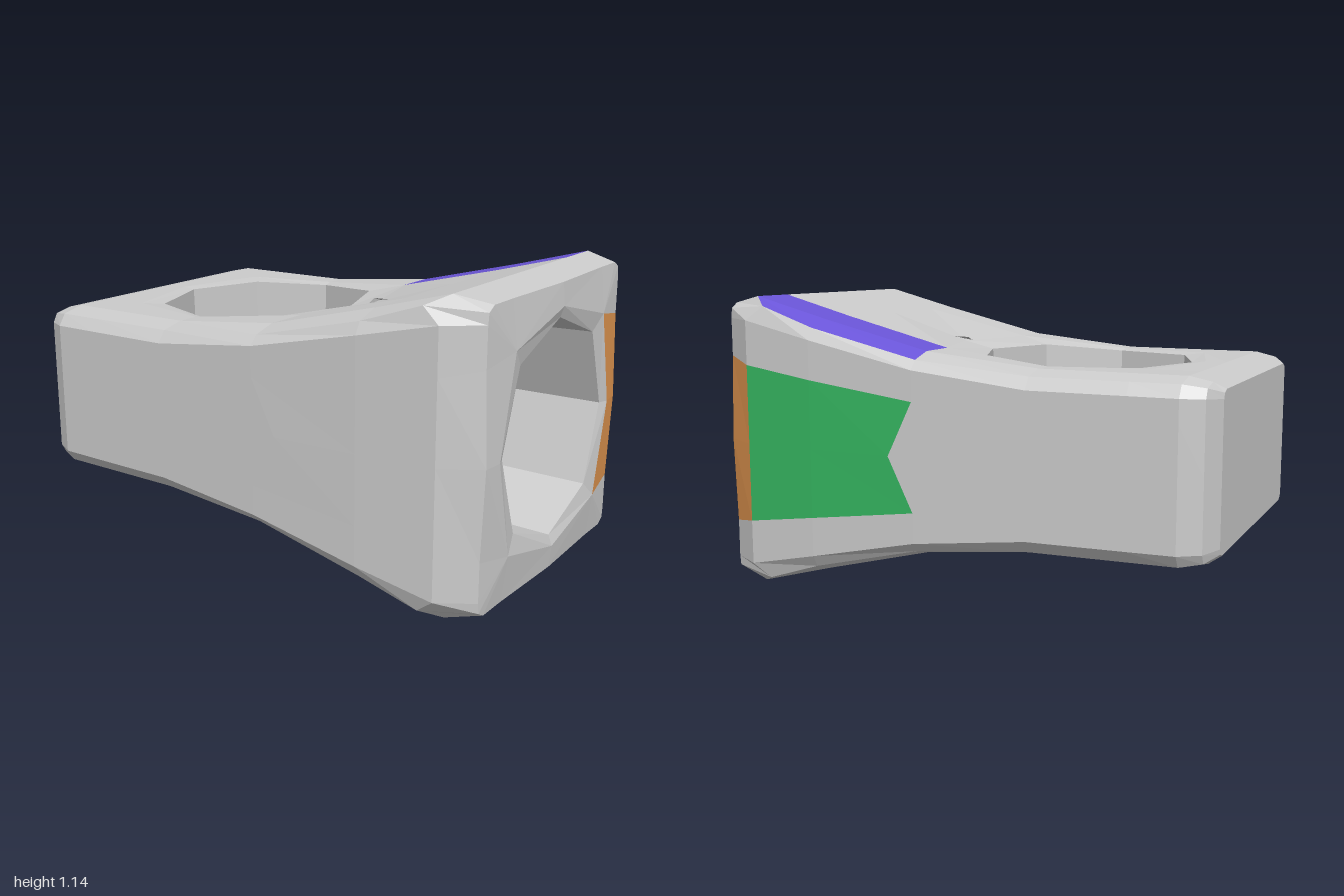
import * as THREE from 'three';

const CY = 0.576; // height of the centre line

// Sections along x: x, half height, flat half width, chamfer z, chamfer drop,
// side half width, side drop, inner column z, side row as a share of half height
const SECTIONS = [
  [-1.0, 0.287, 0.5, 0.525, 0.01, 0.535, 0.03, 0.36, 0.54],
  [-0.96, 0.312, 0.53, 0.6, 0.015, 0.62, 0.05, 0.37, 0.54],
  [-0.88, 0.33, 0.54, 0.63, 0.02, 0.66, 0.065, 0.37, 0.54],
  [-0.7, 0.331, 0.54, 0.63, 0.02, 0.662, 0.065, 0.37, 0.54],
  [-0.335, 0.333, 0.54, 0.63, 0.02, 0.664, 0.065, 0.455, 0.54],
  [0.11, 0.38, 0.54, 0.63, 0.025, 0.665, 0.06, 0.37, 0.54],
  [0.55, 0.49, 0.54, 0.628, 0.03, 0.655, 0.075, 0.35, 0.54],
  [0.85, 0.571, 0.54, 0.61, 0.035, 0.628, 0.09, 0.34, 0.54],
  [0.98, 0.543, 0.5, 0.535, 0.02, 0.54, 0.06, 0.37, 0.617],
];

// 24 points around a section, from the top over +z to the bottom and back over -z
function sectionRing([x, h, t, m, md, w, sd, a, row], s) {
  const r = h * row;
  const half = [[-a, h], [0, h], [a, h], [t, h], [m, h - md], [w, h - sd],
    [w, r], [w, 0], [w, -r], [w, sd - h], [m, md - h], [t, -h]];
  return [...half, ...half.map(([z, y]) => [-z, -y])].map(([z, y], j) => {
    let px = x;
    const middle = j % 6 === 1;
    if (middle && s === 5) px += 0.1;
    if (middle && s === 3 && j % 12 === 1) px -= 0.1;
    if (middle && s === 8) px += 0.012;
    if (j % 6 === 4 && s === 7) px -= 0.07; // clipped corner
    return [px, CY + y, z];
  });
}

// Eight directions of a squarish octagon, starting at a corner
const DIRS = [[-1, -1], [0, -1], [1, -1], [1, 0], [1, 1], [0, 1], [-1, 1], [-1, 0]];
const octagon = (axial, diagonal, place) => DIRS.map(([u, v]) => {
  const r = u && v ? diagonal : axial;
  return place(u * r, v * r, u);
});

// Collects faces for one part
class Faces {
  constructor() { this.points = []; }
  tri(a, b, c) { this.points.push(...a, ...b, ...c); }
  quad(a, b, c, d) { this.tri(a, b, c); this.tri(a, c, d); }
  band(A, B) {
    A.forEach((p, i) => {
      const n = (i + 1) % A.length;
      this.quad(p, B[i], B[n], A[n]);
    });
  }
  mesh(name, color) {
    const g = new THREE.BufferGeometry();
    g.setAttribute('position', new THREE.Float32BufferAttribute(this.points, 3));
    g.computeVertexNormals();
    const mesh = new THREE.Mesh(g, new THREE.MeshStandardMaterial({ color, flatShading: true }));
    mesh.name = name;
    return mesh;
  }
}

export function createModel() {
  const body = new Faces(), hole = new Faces(), socket = new Faces();
  const topPatch = new Faces(), sidePatch = new Faces(), endPatch = new Faces();
  const rings = SECTIONS.map(sectionRing);

  // Outer skin, left open where the vertical hole breaks through
  for (let s = 0; s < 8; s++) {
    for (let j = 0; j < 24; j++) {
      const n = (j + 1) % 24;
      if ((s === 3 || s === 4) && [0, 1, 12, 13].includes(j)) continue;
      const flared = s === 5 || s === 6;
      const side = j === 18 || j === 19;
      const part = flared && j >= 22 ? topPatch
        : flared && side ? sidePatch
        : s === 7 && side ? endPatch : body;
      part.quad(rings[s][j], rings[s][n], rings[s + 1][n], rings[s + 1][j]);
    }
  }

  // Narrow end cap
  const capCentre = [-1, CY, 0];
  rings[0].forEach((p, j) => body.tri(rings[0][(j + 1) % 24], p, capCentre));

  // Vertical through hole, top and bottom halves meeting at the middle
  for (const sign of [1, -1]) {
    const columns = sign > 0 ? [0, 1, 2] : [14, 13, 12];
    const outer = DIRS.map(([u, v]) => rings[4 + u][columns[v + 1]]);
    const rim = octagon(0.417, 0.305, (x, z, u) =>
      [x - 0.33, CY + sign * (0.325 + 0.025 * Math.max(u, 0)), z]);
    const middle = octagon(0.407, 0.297, (x, z) => [x - 0.33, CY, z]);
    if (sign < 0) [outer, rim, middle].forEach((loop) => loop.reverse());
    body.band(outer, rim);
    hole.band(rim, middle);
  }

  // Wide end face: grid corners and edges around the socket
  const endLoop = (axial, diagonal, x) => octagon(axial, diagonal, (z, y) => [x, CY - y, z]);
  const grid = endLoop(0.457, 0.367, 1);
  const end = rings[8];
  for (let k = 0; k < 4; k++) {
    const part = k === 3 ? endPatch : body;
    for (let i = 0; i < 2; i++) {
      const j = 6 * k + i, g = 2 * k + i;
      part.quad(end[j], end[j + 1], grid[(g + 1) % 8], grid[g]);
    }
    for (let j = 6 * k + 2; j < 6 * k + 6; j++) {
      body.tri(end[j], end[(j + 1) % 24], grid[(2 * k + 2) % 8]);
    }
  }

  // Blind socket with slightly tapered walls and a shallow dished floor
  const loops = [grid, endLoop(0.415, 0.305, 0.985), endLoop(0.395, 0.29, 0.2),
    endLoop(0.27, 0.225, 0.19)].map((loop) => loop.reverse());
  body.band(loops[0], loops[1]);
  socket.band(loops[1], loops[2]);
  socket.band(loops[2], loops[3]);
  const floor = loops[3];
  floor.forEach((p, i) => socket.tri(floor[(i + 1) % 8], p, [0.187, CY, 0]));

  const group = new THREE.Group();
  group.name = 'flaredConnector';
  group.add(
    body.mesh('body', 0xcccccc),
    hole.mesh('verticalHole', 0xcccccc),
    socket.mesh('endSocket', 0xcccccc),
    topPatch.mesh('topPatch', 0x6a55d8),
    sidePatch.mesh('sidePatch', 0x35b560),
    endPatch.mesh('endPatch', 0xe0954f),
  );
  return group;
}
